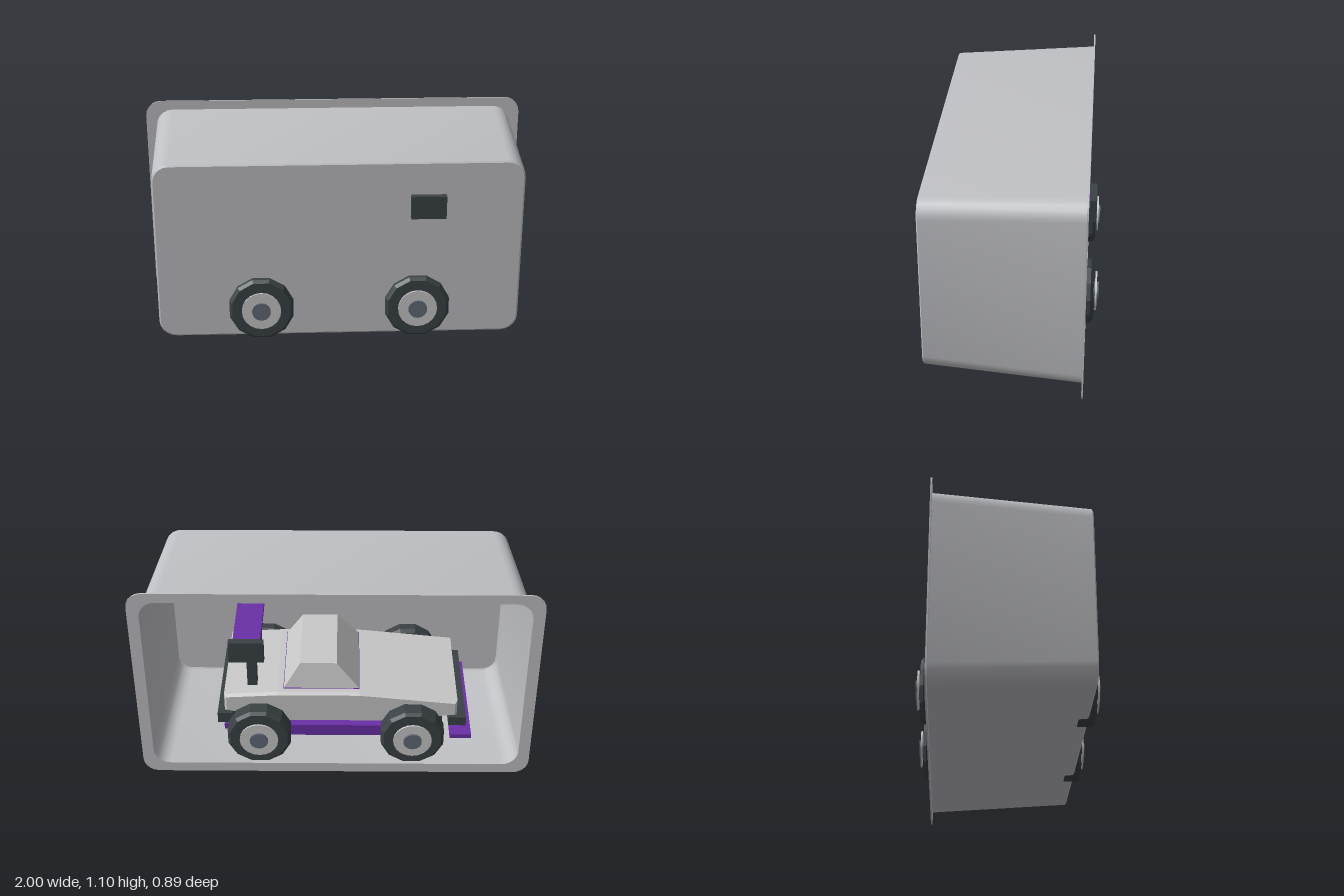
import * as THREE from 'three';
import { toCreasedNormals } from 'three/addons/utils/BufferGeometryUtils.js';

const mat = (name, color, extra = {}) => {
  const m = new THREE.MeshStandardMaterial({ color, ...extra });
  m.name = name;
  return m;
};

export function createModel() {
  const shellGrey = mat('shell grey', 0xbfc0c4, { side: THREE.DoubleSide });
  const bodyGrey = mat('body light grey', 0xc8c9c8);
  const darkGrey = mat('dark grey', 0x3a4144);
  const slate = mat('slate', 0x626b78);
  const purple = mat('purple', 0x6a30a6);

  const root = new THREE.Group();
  root.name = 'carInTray';
  const add = (parent, name, geo, material, x = 0, y = 0, z = 0) => {
    const m = new THREE.Mesh(geo, material);
    m.name = name;
    m.position.set(x, y, z);
    parent.add(m);
    return m;
  };
  // Box given by its limits
  const block = (parent, name, material, x0, x1, y0, y1, z0, z1) =>
    add(parent, name, new THREE.BoxGeometry(x1 - x0, y1 - y0, z1 - z0), material,
      (x0 + x1) / 2, (y0 + y1) / 2, (z0 + z1) / 2);

  // Rounded rectangle outline, counter-clockwise
  const outline = (hw, y0, y1, r, steps = 5) => {
    const pts = [];
    const corners = [[hw - r, y1 - r], [r - hw, y1 - r], [r - hw, y0 + r], [hw - r, y0 + r]];
    corners.forEach(([cx, cy], k) => {
      for (let i = 0; i <= steps; i++) {
        const a = (k + i / steps) * Math.PI / 2;
        pts.push(new THREE.Vector2(cx + r * Math.cos(a), cy + r * Math.sin(a)));
      }
    });
    return pts;
  };

  // Tapered shell, open at the back, with a small chamfer round the front
  const rings = [
    [outline(0.945, 0.052, 1.053, 0.085), -0.38],
    [outline(0.905, 0.095, 1.008, 0.085), 0.378],
    [outline(0.897, 0.103, 1.0, 0.078), 0.384],
  ];
  const n = rings[0][0].length, pos = [], index = [];
  rings.forEach(([pts, z]) => pts.forEach((p) => pos.push(p.x, p.y, z)));
  pos.push(0, 0.5515, 0.384);
  for (let i = 0; i < n; i++) {
    const j = (i + 1) % n;
    for (let k = 0; k < 2; k++) {
      const a = k * n + i, b = k * n + j;
      index.push(a, b, b + n, a, b + n, a + n);
    }
    index.push(2 * n + i, 2 * n + j, 3 * n);
  }
  const shellGeo = new THREE.BufferGeometry();
  shellGeo.setAttribute('position', new THREE.Float32BufferAttribute(pos, 3));
  shellGeo.setIndex(index);
  add(root, 'trayShell', toCreasedNormals(shellGeo, 0.5), shellGrey);

  // Flat flange around the opening
  const flangeShape = new THREE.Shape(outline(1, 0, 1.1, 0.08));
  flangeShape.holes.push(new THREE.Path(outline(0.942, 0.055, 1.05, 0.083).reverse()));
  add(root, 'trayFlange', new THREE.ExtrudeGeometry(flangeShape, { depth: 0.008, bevelEnabled: false }),
    shellGrey, 0, 0, -0.385);

  // Car, nose towards -x
  const car = new THREE.Group();
  car.name = 'car';
  root.add(car);

  // Body wedge
  const side = [[0.56, 0.335], [0.56, 0.415], [0.3, 0.43], [-0.12, 0.43], [-0.61, 0.38],
    [-0.61, 0.31], [-0.25, 0.27], [0.25, 0.27]].map(([x, y]) => new THREE.Vector2(x, y));
  const bodyGeo = new THREE.ExtrudeGeometry(new THREE.Shape(side.reverse()), {
    depth: 0.56, bevelThickness: 0.015, bevelSize: 0.012, bevelSegments: 1,
  });
  add(car, 'body', bodyGeo, bodyGrey, 0, 0, -0.28);

  // Cabin: a box narrowed towards the roof
  const cabinGeo = new THREE.BoxGeometry(0.386, 0.135, 0.5).toNonIndexed();
  const p = cabinGeo.attributes.position;
  for (let i = 0; i < p.count; i++) {
    if (p.getY(i) > 0) {
      p.setX(i, p.getX(i) * 0.48 + 0.015);
      p.setZ(i, p.getZ(i) * 0.88);
    }
  }
  cabinGeo.computeVertexNormals();
  add(car, 'cabin', cabinGeo, bodyGrey, 0.074, 0.512, 0);
  block(car, 'cabinTrim', purple, -0.121, 0.269, 0.438, 0.445, -0.252, 0.252);

  // Underside, bumpers and splitters
  block(car, 'chassis', darkGrey, -0.55, 0.52, 0.2, 0.29, -0.26, 0.26);
  block(car, 'frontBumper', darkGrey, -0.67, -0.58, 0.245, 0.295, -0.3, 0.3);
  block(car, 'rearBumper', darkGrey, 0.53, 0.61, 0.25, 0.31, -0.29, 0.29);
  block(car, 'frontSplitter', purple, -0.7, -0.59, 0.175, 0.2, -0.32, 0.32);
  block(car, 'rearDiffuser', purple, 0.5, 0.58, 0.19, 0.22, -0.27, 0.27);

  // Rear wing
  block(car, 'wing', purple, 0.37, 0.505, 0.775, 0.805, -0.39, 0.39);
  for (const s of [-1, 1]) {
    const label = s > 0 ? 'left' : 'right';
    add(car, label + 'WingPost', new THREE.BoxGeometry(0.05, 0.35, 0.05), darkGrey, 0.43, 0.605, s * 0.19);
    add(car, label + 'WingEndPlate', new THREE.BoxGeometry(0.172, 0.115, 0.035), darkGrey, 0.435, 0.785, s * 0.403);
    add(car, label + 'Sill', new THREE.BoxGeometry(0.56, 0.065, 0.07), purple, 0, 0.237, s * 0.3);
  }

  // Wheels: axis along z, outer side at +z before turning
  const tyreMat = darkGrey;
  const tyreProfile = [[0.001, 0.318], [0.145, 0.318], [0.165, 0.336], [0.165, 0.405], [0.15, 0.42], [0.001, 0.42]]
    .map(([r, h]) => new THREE.Vector2(r, h));
  const tyreGeo = new THREE.LatheGeometry(tyreProfile, 12).toNonIndexed();
  tyreGeo.rotateY(Math.PI / 12).rotateX(Math.PI / 2);
  tyreGeo.computeVertexNormals();
  const disc = (r, z0, z1, sides) =>
    new THREE.CylinderGeometry(r, r, z1 - z0, sides).rotateX(Math.PI / 2).translate(0, 0, (z0 + z1) / 2);
  const rimGeo = disc(0.098, 0.427, 0.436, 20);
  const capGeo = disc(0.047, 0.41, 0.445, 14);
  for (const s of [-1, 1]) {
    for (const x of [-0.39, 0.39]) {
      const wheel = new THREE.Group();
      wheel.name = (x < 0 ? 'front' : 'rear') + (s > 0 ? 'Left' : 'Right') + 'Wheel';
      wheel.position.set(x, 0.25, 0);
      if (s < 0) wheel.rotation.y = Math.PI;
      add(wheel, 'tyre', tyreGeo, tyreMat);
      add(wheel, 'rim', rimGeo, bodyGrey);
      add(wheel, 'hubCap', capGeo, slate);
      car.add(wheel);
    }
  }
  // Axles
  for (const x of [-0.39, 0.39]) {
    add(car, x < 0 ? 'frontAxle' : 'rearAxle', disc(0.03, -0.32, 0.32, 10), darkGrey, x, 0.25, 0);
  }
  return root;
}
